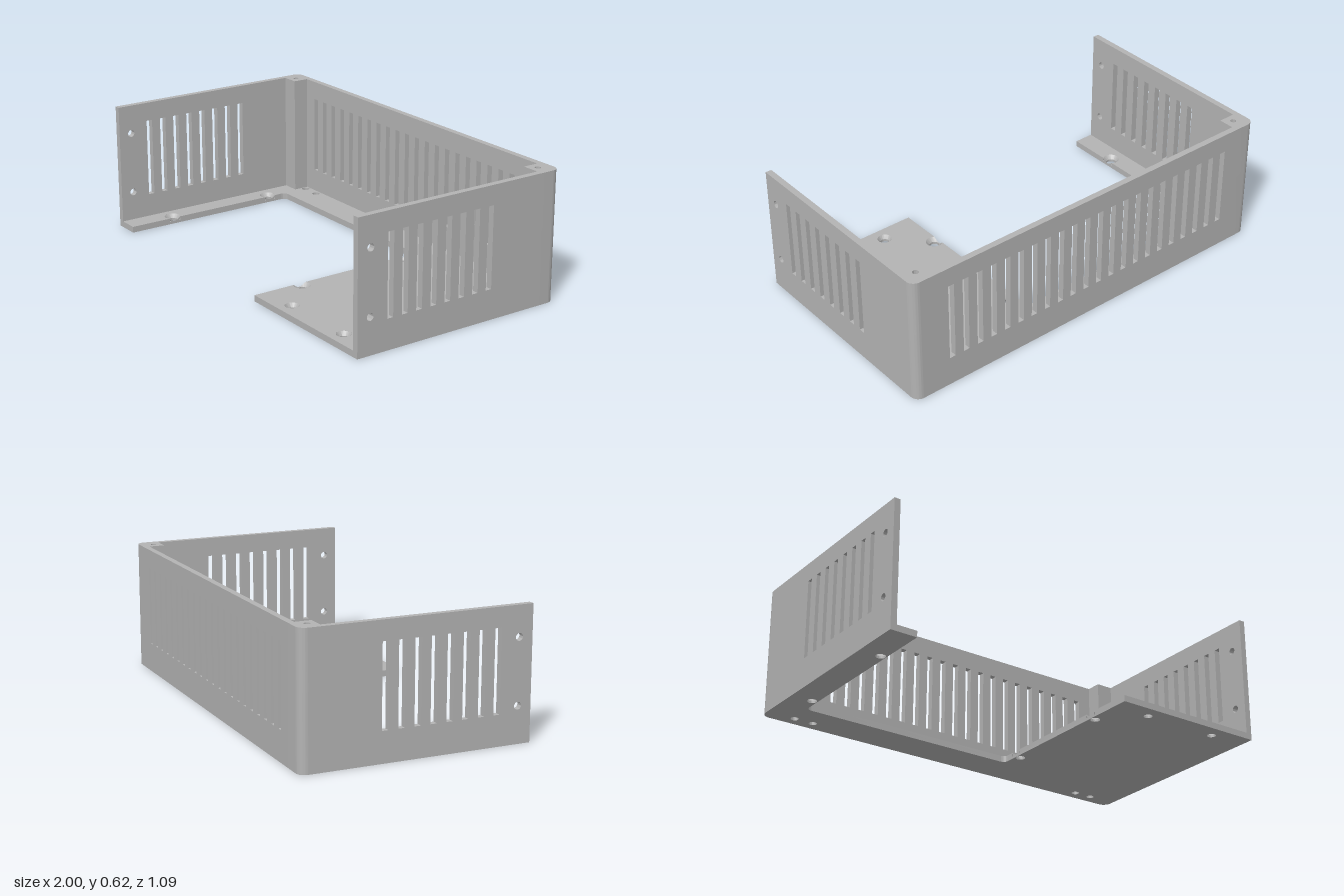
import * as THREE from 'three';
import { toCreasedNormals } from 'three/addons/utils/BufferGeometryUtils.js';

const W = 1, D = 0.547, H = 0.62, T = 0.03; // half width, half depth, height, wall
const LEDGE = 0.012;                        // floor height where countersinks begin
const CUT = { left: -0.87, right: 0.23, back: 0.365, r: 0.03 };

// Screw holes in plan (x, z); side points towards a cut edge that clips the countersink
const screws = [-0.27, 0.305].flatMap(z => [
  { x: CUT.left - 0.025, z, r: 0.023, R: 0.04, side: 1 },
  { x: CUT.right + 0.025, z, r: 0.023, R: 0.04, side: -1 },
]).concat([0.425, 0.81].map(x => ({ x, z: 0.477, r: 0.021, R: 0.034, side: 0 })));
const EDGE = 0.025;

const circle = (x, y, r) => new THREE.Path().absarc(x, y, r, 0, Math.PI * 2, false);

function rect(x0, y0, x1, y1, Type = THREE.Path) {
  return new Type([[x0, y0], [x1, y0], [x1, y1], [x0, y1]].map(p => new THREE.Vector2(...p)));
}

function extrude(shape, depth) {
  const g = new THREE.ExtrudeGeometry(shape, { depth, bevelEnabled: false, curveSegments: 16 });
  return toCreasedNormals(g, 0.6);
}

// Plan shapes use (x, -z) and rise along y
const rise = (shape, h) => extrude(shape, h).rotateX(-Math.PI / 2);

// U-shaped floor outline, optionally notched where countersinks break the cut edge
function floorShape(notched) {
  const s = new THREE.Shape();
  s.moveTo(-W + T, -D).lineTo(CUT.left, -D);
  const notch = (h, from) => {
    const a = Math.acos(EDGE / h.R);
    s.absarc(h.x, -h.z, h.R, from - a, from + a, true);
  };
  const along = side => screws.filter(h => h.side === side).sort((a, b) => side * (b.z - a.z));
  if (notched) along(1).forEach(h => notch(h, 0));
  s.lineTo(CUT.left, CUT.back - CUT.r);
  s.quadraticCurveTo(CUT.left, CUT.back, CUT.left + CUT.r, CUT.back);
  s.lineTo(CUT.right - CUT.r, CUT.back);
  s.quadraticCurveTo(CUT.right, CUT.back, CUT.right, CUT.back - CUT.r);
  if (notched) along(-1).forEach(h => notch(h, Math.PI));
  s.lineTo(CUT.right, -D).lineTo(W - T, -D).lineTo(W - T, D - T).lineTo(-W + T, D - T);
  s.closePath();
  for (const h of screws) {
    if (!notched) s.holes.push(circle(h.x, -h.z, h.r));
    else if (!h.side) s.holes.push(circle(h.x, -h.z, h.R));
  }
  for (const x of [-0.86, -0.765, 0.76, 0.855]) s.holes.push(circle(x, 0.49, 0.019));
  return s;
}

// Cone of a countersink, trimmed at the cut edge, with the edge face below it
function countersink({ x, z, r, R, side }) {
  const n = 48, pos = [], idx = [];
  for (let i = 0; i <= n; i++) {
    const t = i / n * Math.PI * 2, c = Math.cos(t), s = Math.sin(t);
    const rim = c * side > 0 ? Math.min(R, EDGE / (c * side)) : R;
    const y = LEDGE + (T - LEDGE) * (rim - r) / (R - r);
    const drop = rim < R ? LEDGE : y;
    for (const [q, h] of [[r, LEDGE], [rim, y], [rim, drop]]) pos.push(x + q * c, h, z + q * s);
    if (i === n) continue;
    for (let k = 0; k < 2; k++) {
      const a = i * 3 + k, b = a + 3;
      idx.push(a, b, a + 1, b, b + 1, a + 1);
    }
  }
  const g = new THREE.BufferGeometry();
  g.setAttribute('position', new THREE.Float32BufferAttribute(pos, 3));
  g.setIndex(idx);
  return toCreasedNormals(g, 0.6);
}

// Row of upright vent slots
function addSlots(shape, first, pitch, count) {
  for (let i = 0; i < count; i++) {
    const c = first + i * pitch;
    shape.holes.push(rect(c - 0.0155, 0.144, c + 0.0155, 0.528));
  }
}

export function createModel() {
  const model = new THREE.Group();
  model.name = 'ventedEnclosure';
  const grey = new THREE.MeshStandardMaterial({ color: 0xb3b3b3, side: THREE.DoubleSide });
  grey.name = 'grey';
  const add = (name, geometry, x = 0, y = 0, z = 0) => {
    const m = new THREE.Mesh(geometry, grey);
    m.name = name;
    m.position.set(x, y, z);
    model.add(m);
  };

  // Floor in two layers, with countersunk screw holes
  add('floorLower', rise(floorShape(false), LEDGE));
  add('floorUpper', rise(floorShape(true), T - LEDGE), 0, LEDGE);
  for (const h of screws) add('countersink', countersink(h));

  // Back wall
  const postX = 0.885, postZ = 0.44;
  const back = rect(-postX, 0, postX, H, THREE.Shape);
  addSlots(back, -0.8, 1.6 / 21, 22);
  add('backWall', extrude(back, T), 0, 0, -D);

  // Side walls, drawn in (-z, y)
  const sideShape = rect(-D, 0, postZ, H, THREE.Shape);
  addSlots(sideShape, -0.378, 0.0763, 8);
  for (const y of [0.173, 0.478]) sideShape.holes.push(circle(-0.482, y, 0.0175));
  const sideWall = extrude(sideShape, T).rotateY(Math.PI / 2);
  add('leftWall', sideWall, W - T);
  add('rightWall', sideWall, -W);

  // Rounded back corners with screw posts; the screw hole is blind
  const r = 0.04, holeStart = 0.35;
  for (const s of [-1, 1]) {
    const post = () => {
      const p = new THREE.Shape();
      p.moveTo(s * postX, postZ).lineTo(s * W, postZ).lineTo(s * W, D - r);
      p.absarc(s * (W - r), D - r, r, s > 0 ? 0 : Math.PI, Math.PI / 2, s < 0);
      p.lineTo(s * postX, D).closePath();
      return p;
    };
    const top = post();
    top.holes.push(circle(s * 0.93, 0.48, 0.014));
    const side = s > 0 ? 'left' : 'right';
    add(side + 'CornerPostLower', rise(post(), holeStart));
    add(side + 'CornerPostUpper', rise(top, H - holeStart), 0, holeStart);
  }

  // Hollow standoff on the floor
  const ring = new THREE.Shape().absarc(0, 0, 0.038, 0, Math.PI * 2, false);
  ring.holes.push(circle(0, 0, 0.014));
  add('standoff', rise(ring, 0.028), 0.817, T, -0.105);

  return model;
}
